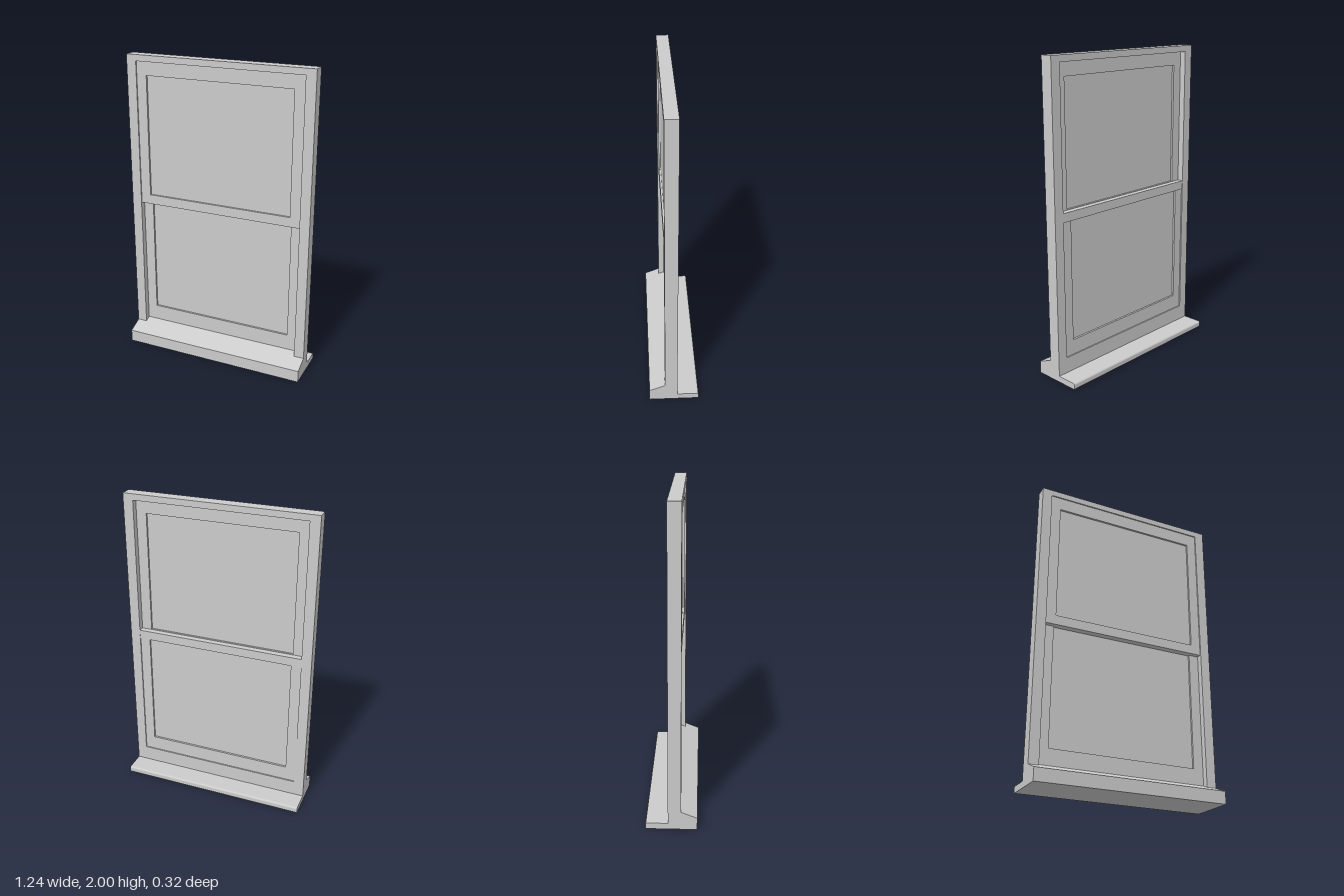
import * as THREE from 'three';

const material = new THREE.MeshStandardMaterial({ color: 0xcccccc });
const HALF = 0.62;      // half width of the frame
const OPEN = 0.555;     // half width of the opening
const BACK = -0.02, FRONT = 0.06;

function addMesh(parent, name, geometry) {
  const mesh = new THREE.Mesh(geometry, material);
  mesh.name = name;
  parent.add(mesh);
  return mesh;
}

function addBox(parent, name, x0, x1, y0, y1, z0, z1) {
  const box = new THREE.BoxGeometry(x1 - x0, y1 - y0, z1 - z0);
  box.translate((x0 + x1) / 2, (y0 + y1) / 2, (z0 + z1) / 2);
  return addMesh(parent, name, box);
}

// Rectangular ring standing in the xy plane, from z0 to z1
function ringGeometry(halfOut, y0, y1, halfIn, in0, in1, z0, z1) {
  const rect = (Type, h, a, b) => new Type([[-h, a], [h, a], [h, b], [-h, b]]
    .map(([x, y]) => new THREE.Vector2(x, y)));
  const shape = rect(THREE.Shape, halfOut, y0, y1);
  shape.holes.push(rect(THREE.Path, halfIn, in0, in1));
  const g = new THREE.ExtrudeGeometry(shape, { depth: z1 - z0, bevelEnabled: false });
  return g.translate(0, 0, z0);
}

// Side profile drawn in (z, y) and swept across the width
function sweepAcross(shape, halfWidth) {
  const g = new THREE.ExtrudeGeometry(shape, {
    depth: halfWidth * 2, bevelEnabled: false, curveSegments: 6,
  });
  return g.translate(0, 0, -halfWidth).rotateY(-Math.PI / 2);
}

function profile(points) {
  return new THREE.Shape(points.map(([z, y]) => new THREE.Vector2(z, y)));
}

// Sash: surrounding rails and stiles with a pane set between them
function makeSash(name, s) {
  const sash = new THREE.Group();
  sash.name = name;
  addMesh(sash, 'sashFrame',
    ringGeometry(OPEN, s.bottom, s.top, 0.488, s.paneBottom, s.paneTop, s.back, s.front));
  const mid = (s.back + s.front) / 2;
  addBox(sash, 'pane', -0.488, 0.488, s.paneBottom, s.paneTop, mid - 0.003, mid + 0.003);
  return sash;
}

export function createModel() {
  const model = new THREE.Group();
  model.name = 'sashWindow';

  // Outer frame
  addMesh(model, 'frame', ringGeometry(HALF, 0, 2, OPEN, 0.12, 1.96, BACK, FRONT));

  // Sloping outside sill, continued between the jambs up to the lower sash
  addMesh(model, 'outerSill', sweepAcross(
    profile([[FRONT, 0], [0.16, 0], [0.16, 0.08], [FRONT, 0.12]]), HALF));
  addMesh(model, 'sillBed', sweepAcross(
    profile([[BACK, 0.12], [FRONT, 0.12], [0.02, 0.136], [0.02, 0.142], [BACK, 0.142]]), OPEN));

  // Inside stool board with a rounded nosing
  const stool = new THREE.Shape();
  const end = -0.157, r = 0.012;
  stool.moveTo(BACK, 0);
  stool.lineTo(BACK, 0.04);
  stool.lineTo(end + r, 0.04);
  stool.absarc(end + r, 0.04 - r, r, Math.PI / 2, Math.PI, false);
  stool.lineTo(end, r / 2);
  stool.absarc(end + r / 2, r / 2, r / 2, Math.PI, Math.PI * 1.5, false);
  stool.closePath();
  addMesh(model, 'innerStool', sweepAcross(stool, HALF));

  // Upper sash in the outside track, lower sash in the inside track
  model.add(makeSash('upperSash', {
    bottom: 1.02, top: 1.96, paneBottom: 1.083, paneTop: 1.873, back: 0.02, front: 0.052,
  }));
  const lower = makeSash('lowerSash', {
    bottom: 0.142, top: 1.08, paneBottom: 0.24, paneTop: 1.02, back: -0.012, front: 0.02,
  });
  addBox(lower, 'meetingRail', -OPEN, OPEN, 1.022, 1.08, -0.019, -0.012);
  model.add(lower);

  return model;
}
